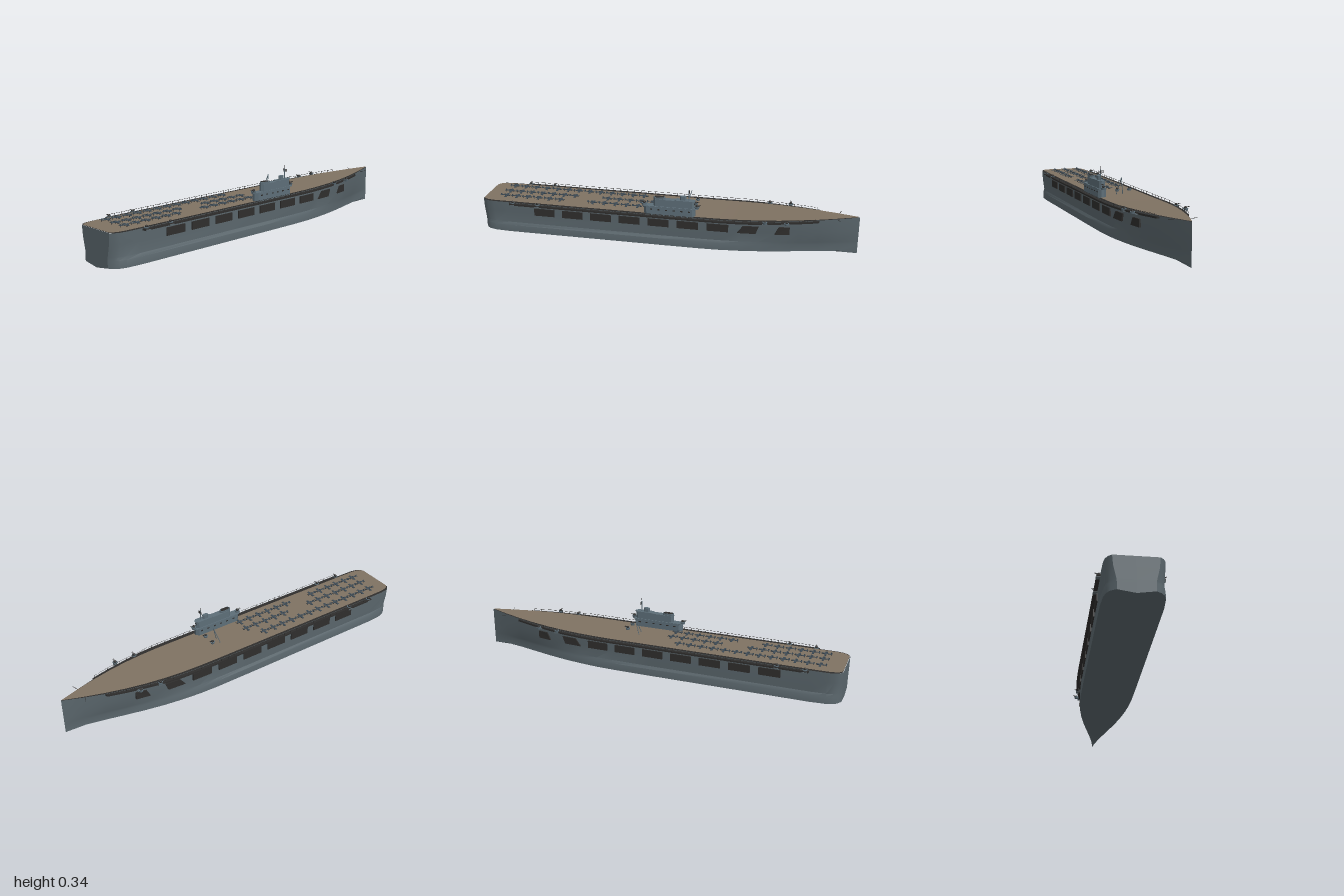
import * as THREE from 'three';
import { mergeGeometries, toCreasedNormals } from 'three/addons/utils/BufferGeometryUtils.js';

// Hull stations: x, half width at deck, half width at the bottom
const STATIONS = [
  [-1, 0, 0], [-1, 0.105, 0.085], [-0.985, 0.122, 0.11], [-0.965, 0.132, 0.125], [-0.93, 0.137, 0.135],
  [-0.85, 0.138, 0.141], [0, 0.138, 0.142], [0.2, 0.138, 0.141], [0.3, 0.137, 0.137], [0.4, 0.134, 0.127],
  [0.5, 0.126, 0.112], [0.6, 0.113, 0.092], [0.7, 0.093, 0.068], [0.8, 0.067, 0.043], [0.9, 0.036, 0.02], [1, 0, 0],
];
const lerp = THREE.MathUtils.lerp;
const deckY = x => 0.183 + 0.02 * Math.pow(Math.max(0, (x - 0.25) / 0.75), 1.3);

// Half width of the deck at any x
function edge(x) {
  for (let i = 2; i < STATIONS.length; i++) {
    const [x0, w0] = STATIONS[i - 1], [x1, w1] = STATIONS[i];
    if (x <= x1) return lerp(w0, w1, (x - x0) / (x1 - x0));
  }
  return 0;
}

// Surface through a row of cross-sections
function loft(rings, crease = 0.5) {
  const n = rings[0].length, idx = [];
  for (let i = 0; i < rings.length - 1; i++) {
    for (let j = 0; j < n - 1; j++) {
      const a = i * n + j, c = a + n;
      idx.push(a, a + 1, c, a + 1, c + 1, c);
    }
  }
  const g = new THREE.BufferGeometry();
  g.setAttribute('position', new THREE.Float32BufferAttribute(rings.flat(2), 3));
  g.setIndex(idx);
  return toCreasedNormals(g.toNonIndexed(), crease);
}

function hullRing([x, w, b]) {
  const m = lerp(b, w, 0.3) * 0.95;
  const half = [[w, deckY(x)], [lerp(m, w, 0.75), 0.13], [m, 0.067], [b, 0.052], [b, 0.015]];
  return [
    ...half.map(([z, y]) => [x, y, z]),
    [x, 0.002, 0],
    ...half.reverse().map(([z, y]) => [x, y, -z]),
  ];
}

export function createModel() {
  const model = new THREE.Group();
  const mat = (name, color, side = THREE.FrontSide) => {
    const m = new THREE.MeshStandardMaterial({ color, side });
    m.name = name;
    return m;
  };
  const hullGrey = mat('hull grey', 0x5b676d);
  const deckTan = mat('deck tan', 0x7f7262);
  const dark = mat('dark fittings', 0x2f2e2d);
  const towerGrey = mat('tower blue grey', 0x5d6e78);
  const planeBlue = mat('aircraft blue', 0x3d4a54);

  const add = (name, geo, material, x = 0, y = 0, z = 0, parent = model) => {
    const mesh = new THREE.Mesh(geo, material);
    mesh.name = name;
    mesh.position.set(x, y, z);
    parent.add(mesh);
    return mesh;
  };
  const group = name => {
    const g = new THREE.Group();
    g.name = name;
    model.add(g);
    return g;
  };
  const box = (w, h, d, x = 0, y = 0, z = 0) => new THREE.BoxGeometry(w, h, d).translate(x, y, z);
  const rod = (from, to, r) => new THREE.TubeGeometry(
    new THREE.LineCurve3(new THREE.Vector3(...from), new THREE.Vector3(...to)), 1, r, 6);

  // Hull, dark deck rim and planked flight deck
  add('hull', loft(STATIONS.map(hullRing)), hullGrey);
  const deckRings = (inset, lift) => STATIONS.slice(1).map(([x, w]) => {
    const z = w * (1 - inset), px = Math.max(x, -0.998);
    return [[px, deckY(x) + lift, -z], [px, deckY(x) + lift, z]];
  });
  add('deckRim', loft(deckRings(0, 0)), dark);
  add('flightDeck', loft(deckRings(0.08, 0.0025)), deckTan);

  // Hangar side openings, bent to follow the hull
  const openings = [];
  for (let i = 0; i < 7; i++) {
    const x = -0.7 + i * 0.1555;
    openings.push([[x, 0.12], [x + 0.112, 0.12], [x + 0.112, 0.16], [x, 0.16]]);
  }
  openings.push([[0.39, 0.12], [0.485, 0.12], [0.5, 0.16], [0.42, 0.16]]);
  openings.push([[0.58, 0.12], [0.655, 0.12], [0.655, 0.16], [0.6, 0.16]]);
  const sides = group('hangarOpenings');
  for (const corners of openings) {
    const shape = new THREE.Shape(corners.map(c => new THREE.Vector2(...c)));
    for (const s of [1, -1]) {
      const g = new THREE.ExtrudeGeometry(shape, { depth: 0.009, bevelEnabled: false }).translate(0, 0, -0.0045);
      const p = g.attributes.position;
      for (let i = 0; i < p.count; i++) p.setZ(i, p.getZ(i) + s * edge(p.getX(i)));
      g.computeVertexNormals();
      add('hangarOpening', g, dark, 0, 0, 0, sides);
    }
  }

  // Catwalks with railings along both deck edges
  const walks = group('catwalks');
  const walkX = [-0.84, -0.835, 0, 0.2, 0.3, 0.4, 0.5, 0.6, 0.7, 0.795, 0.8];
  for (const s of [1, -1]) {
    const rings = walkX.map((x, i) => {
      const end = i === 0 || i === walkX.length - 1;
      const inner = edge(x) - 0.006, outer = edge(x) + (end ? 0 : x > 0.5 ? 0.011 : 0.017);
      const zs = [s * inner, s * outer].sort((a, b) => a - b);
      const top = deckY(x) - 0.002, low = top - 0.009;
      return [[x, top, zs[1]], [x, low, zs[1]], [x, low, zs[0]], [x, top, zs[0]], [x, top, zs[1]]];
    });
    add('catwalk', loft(rings), dark, 0, 0, 0, walks);
    const posts = [], line = [];
    for (let x = -0.82; x < 0.79; x += 0.04) {
      const z = s * (edge(x) + (x > 0.5 ? 0.009 : 0.015));
      posts.push(box(0.0015, 0.014, 0.0015, x, deckY(x) + 0.003, z));
      line.push(new THREE.Vector3(x, deckY(x) + 0.009, z));
    }
    posts.push(new THREE.TubeGeometry(new THREE.CatmullRomCurve3(line), 60, 0.0008, 4));
    add('railing', mergeGeometries(posts), dark, 0, 0, 0, walks);
    // Bow boom
    add('bowBoom', rod([0.89, 0.194, s * 0.03], [0.905, 0.2, s * 0.07], 0.0012), dark);
  }

  // Gun mounts: tub, rounded shield and twin barrels
  const tub = new THREE.CylinderGeometry(0.014, 0.011, 0.012, 16).translate(0, 0.006, 0);
  const shield = new THREE.SphereGeometry(0.008, 14, 10).translate(0, 0.015, 0);
  const barrels = mergeGeometries([-0.003, 0.003].map(z => rod([0, 0.016, z], [0.022, 0.02, z], 0.0012)));
  const gun = (x, y, z, turn = 0, scale = 1) => {
    const g = group('gunMount');
    add('gunTub', tub, towerGrey, 0, 0, 0, g);
    add('gunShield', shield, dark, 0, 0, 0, g);
    add('gunBarrels', barrels, dark, 0, 0, 0, g);
    g.position.set(x, y, z);
    g.rotation.y = turn;
    g.scale.setScalar(scale);
  };
  for (const s of [1, -1]) {
    for (const x of [-0.82, -0.68, 0.53, 0.64]) {
      gun(x, deckY(x) - 0.008, s * Math.max(edge(x) + 0.005, 0.133), -s * Math.PI / 2, 0.9);
      add('gunSponson', box(0.026, 0.007, 0.026), hullGrey, x, deckY(x) - 0.01, s * (edge(x) + 0.006));
    }
    gun(0.157, 0.212, s * 0.033, 0, 0.85);
  }

  // Island superstructure
  const island = group('island');
  const Z = 0.115;
  const slab = (name, x0, x1, y0, y1, depth, m = towerGrey) => {
    const r = depth * 0.35, h = depth / 2, shape = new THREE.Shape([
      [x0, -h + r], [x0 + r, -h], [x1 - r, -h], [x1, -h + r],
      [x1, h - r], [x1 - r, h], [x0 + r, h], [x0, h - r],
    ].map(c => new THREE.Vector2(...c)));
    const g = new THREE.ExtrudeGeometry(shape, { depth: y1 - y0, bevelEnabled: false }).rotateX(-Math.PI / 2);
    add(name, g, m, 0, y0, Z, island);
  };
  slab('islandBase', -0.1, 0.17, 0.182, 0.227, 0.042);
  slab('islandWalkway', -0.112, 0.185, 0.225, 0.229, 0.04);
  slab('islandUpper', -0.05, 0.165, 0.228, 0.266, 0.032);
  slab('bridgeRoof', 0.06, 0.17, 0.265, 0.269, 0.035);
  slab('funnel', -0.05, 0.012, 0.264, 0.276, 0.026);
  slab('funnelMouth', -0.044, 0.006, 0.275, 0.278, 0.02, dark);
  slab('director', 0.09, 0.122, 0.267, 0.29, 0.018);
  for (const s of [1, -1]) {
    for (let x = -0.06; x < 0.15; x += 0.04) {
      add('islandPort', box(0.012, 0.006, 0.002), dark, x, 0.212, Z + s * 0.021, island);
    }
  }
  add('bridgeWindows', box(0.002, 0.005, 0.012), dark, 0.165, 0.251, Z, island);
  gun(-0.1, 0.226, Z, Math.PI, 0.95);
  gun(0.178, 0.226, Z, 0, 0.95);

  // Mast and radar frame
  add('mast', rod([0.135, 0.26, Z], [0.135, 0.325, Z], 0.0028), towerGrey, 0, 0, 0, island);
  add('mastTip', rod([0.135, 0.32, Z], [0.135, 0.343, Z], 0.001), dark, 0, 0, 0, island);
  const frame = [0.308, 0.314, 0.32].map(y => box(0.002, 0.0018, 0.026, 0.138, y, 0));
  for (const z of [-0.012, 0, 0.012]) frame.push(box(0.002, 0.014, 0.0018, 0.138, 0.314, z));
  add('radar', mergeGeometries(frame), dark, 0, 0, Z, island);

  // Sheer-leg derrick
  for (const s of [1, -1]) {
    add('derrickLeg', rod([0.1, 0.185, s * 0.018], [0.13, 0.278, 0], 0.002), towerGrey);
  }

  // Parked aircraft in three rows
  const aircraft = mergeGeometries([
    new THREE.CylinderGeometry(0.0045, 0.0018, 0.046, 8).rotateZ(-Math.PI / 2).translate(0, 0.009, 0),
    new THREE.SphereGeometry(0.0045, 8, 6).translate(0.023, 0.009, 0),
    box(0.011, 0.002, 0.05, 0.008, 0.008, 0),
    box(0.007, 0.0015, 0.018, -0.021, 0.01, 0),
    box(0.006, 0.008, 0.0015, -0.021, 0.013, 0),
    box(0.01, 0.004, 0.004, 0.002, 0.014, 0),
  ]);
  const gear = mergeGeometries([
    box(0.0025, 0.007, 0.002, 0.009, 0.0035, 0.01), box(0.0025, 0.007, 0.002, 0.009, 0.0035, -0.01),
    box(0.0015, 0.009, 0.0015, -0.02, 0.0045, 0), box(0.0015, 0.002, 0.016, 0.0285, 0.009, 0),
  ]);
  const rows = [[-0.075, -0.89, 13], [0, -0.89, 7], [0, -0.335, 5], [0.067, -0.89, 6], [0.067, -0.4, 6]];
  for (const [z, start, count] of rows) {
    for (let i = 0; i < count; i++) {
      const g = group('parkedAircraft');
      g.position.set(start + i * 0.0615, 0.1855, z);
      add('airframe', aircraft, planeBlue, 0, 0, 0, g);
      add('landingGear', gear, dark, 0, 0, 0, g);
    }
  }
  return model;
}
